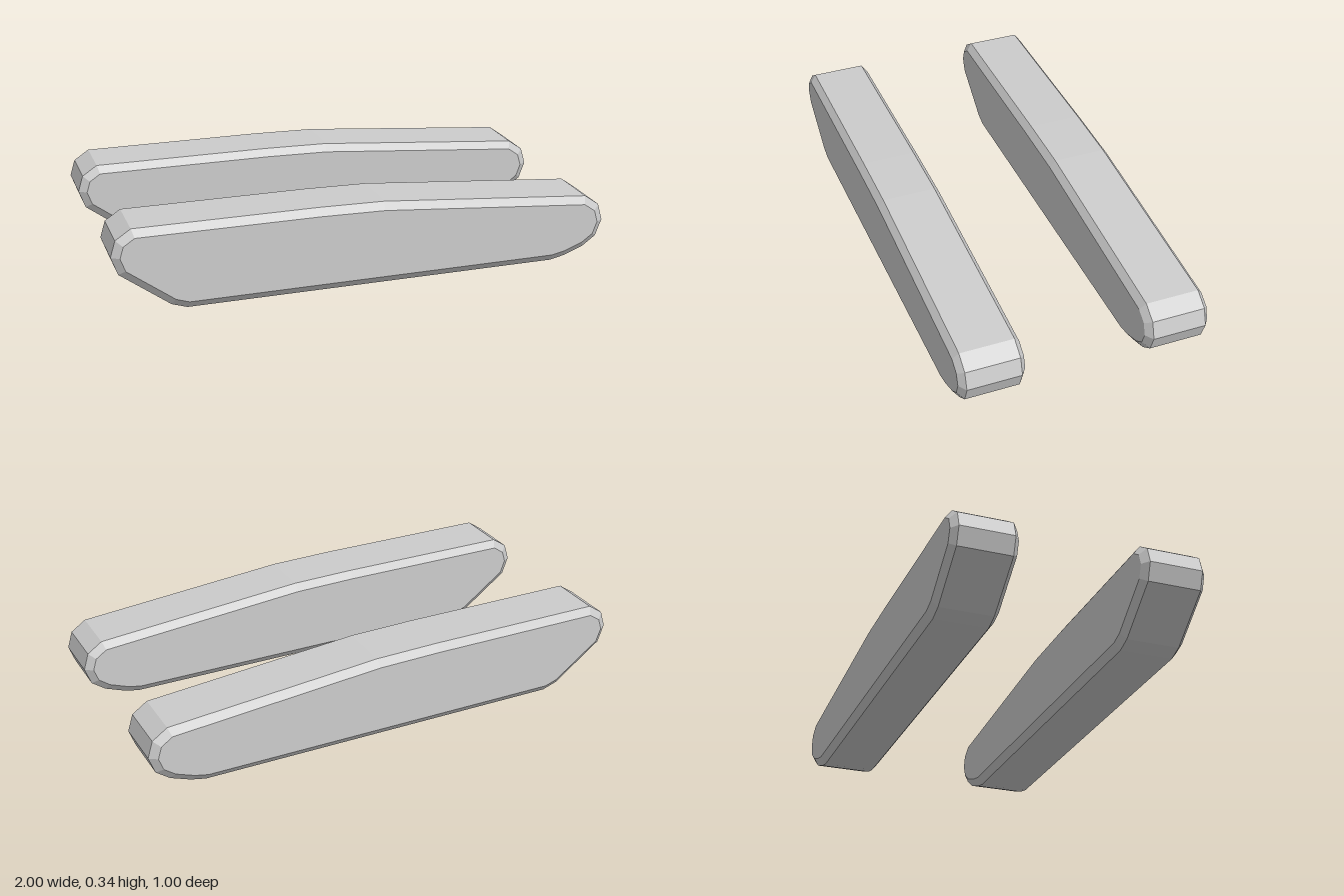
import * as THREE from 'three';

// Side outline of one track, counter-clockwise
const OUTLINE = [
  [-0.72, 0], [0.78, 0], [0.84, 0.013], [0.92, 0.043], [0.975, 0.083],
  [1, 0.15], [0.98, 0.218], [0.92, 0.26], [0.06, 0.335], [-0.2, 0.34],
  [-0.92, 0.34], [-0.98, 0.3], [-1, 0.235], [-0.975, 0.165], [-0.78, 0.02],
];
const WIDTH = 0.26;
const CENTRE_Z = 0.37;
const CHAMFER = { inset: 0.03, depth: 0.023 };

// Slab with a chamfered rim on both faces, centred on z = 0
function trackGeometry() {
  const shape = new THREE.Shape(OUTLINE.map(([x, y]) => new THREE.Vector2(x, y)));
  const depth = WIDTH - 2 * CHAMFER.depth;
  const geometry = new THREE.ExtrudeGeometry(shape, {
    depth,
    bevelEnabled: true,
    bevelSegments: 1,
    bevelSize: CHAMFER.inset,
    bevelOffset: -CHAMFER.inset,
    bevelThickness: CHAMFER.depth,
  });
  return geometry.translate(0, 0, -depth / 2);
}

export function createModel() {
  const group = new THREE.Group();
  group.name = 'trackPair';
  const material = new THREE.MeshStandardMaterial({ color: 0xcccccc, flatShading: true });
  const geometry = trackGeometry();

  // Two parallel tracks
  for (const [name, side] of [['frontTrack', 1], ['backTrack', -1]]) {
    const track = new THREE.Mesh(geometry, material);
    track.name = name;
    track.position.z = side * CENTRE_Z;
    group.add(track);
  }
  return group;
}
